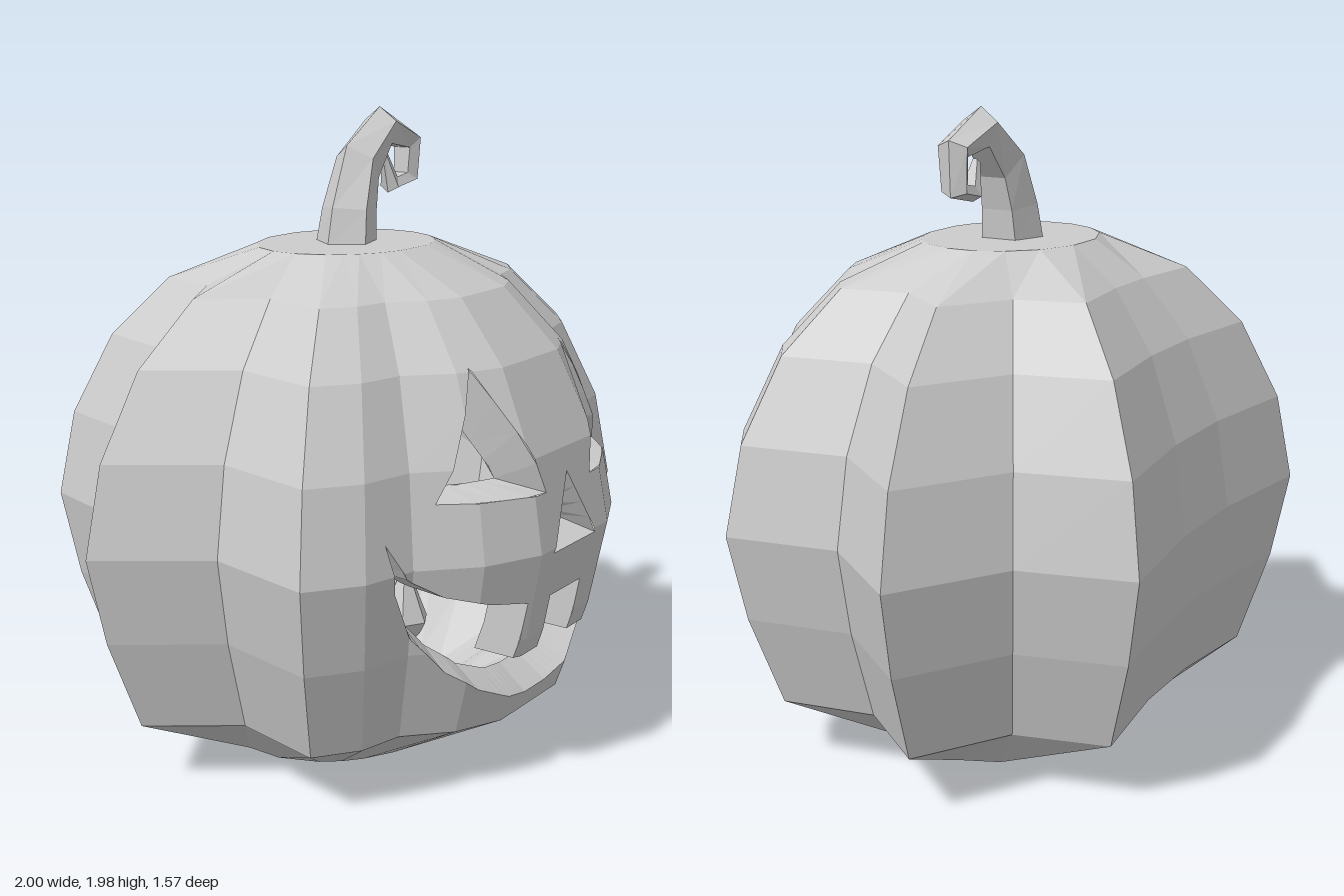
import * as THREE from 'three';

const skin = new THREE.MeshStandardMaterial({ color: 0xcccccc, flatShading: true, side: THREE.DoubleSide });
skin.name = 'pale grey';

const CZ = -0.06; // depth of the vertical axis
const mirrorX = (pts) => pts.map(([x, y]) => [-x, y]).reverse();

// Ribbed plan outline (x, z), front to back, then mirrored
const halfOutline = [[0.2, 0.78], [0.38, 0.7], [0.53, 0.56], [0.7, 0.52], [0.85, 0.41], [0.78, 0.06],
  [1, -0.24], [0.66, -0.45], [0.565, -0.79], [0.16, -0.74]];
const outline = [...halfOutline, ...mirrorX(halfOutline)];

// Ring heights with plan scale
const levels = [[0.2, 0.83], [0.49, 0.94], [0.76, 1], [1.03, 0.94], [1.28, 0.8], [1.46, 0.6]];

function ellipseRing(y, rx, rz) {
  return outline.map(([x, z]) => {
    const a = Math.atan2(x, z - CZ);
    return [rx * Math.sin(a), y, CZ + rz * Math.cos(a)];
  });
}

function makeRings(s, sy) {
  const rings = [
    ellipseRing(0, 0.44, 0.36),
    ...levels.map(([y, k]) => outline.map(([x, z]) => [x * k, y, CZ + (z - CZ) * k])),
    ellipseRing(1.57, 0.31, 0.26),
  ];
  return rings.map((r) => r.map(([x, y, z]) => [x * s, 0.76 + (y - 0.76) * sy, CZ + (z - CZ) * s]));
}

// Surface triangles, split into the carved front and the rest
function shellTriangles(rings) {
  const front = [], rest = [], n = outline.length;
  for (let j = 0; j < rings.length - 1; j++) {
    for (let i = 0; i < n; i++) {
      const k = (i + 1) % n;
      const [a, b, c, d] = [rings[j][i], rings[j][k], rings[j + 1][k], rings[j + 1][i]];
      const carved = outline[i][1] > 0.4 && outline[k][1] > 0.4 && j > 0 && j < 6;
      (carved ? front : rest).push([a, b, c], [a, c, d]);
    }
  }
  const top = rings[rings.length - 1], bottom = rings[0];
  for (let i = 0; i < n; i++) {
    const k = (i + 1) % n;
    rest.push([top[i], top[k], [0, top[0][1], CZ]], [bottom[k], bottom[i], [0, bottom[0][1], CZ]]);
  }
  return { front, rest };
}

const cross = (a, b, p) => (b[0] - a[0]) * (p[1] - a[1]) - (b[1] - a[1]) * (p[0] - a[0]);

// Keep the part of a polygon on one side of line a-b (seen from the front)
function clip(poly, a, b, sign) {
  const out = [];
  poly.forEach((p, i) => {
    const q = poly[(i + 1) % poly.length];
    const dp = sign * cross(a, b, p), dq = sign * cross(a, b, q);
    if (dp >= 0) out.push(p);
    if ((dp > 0 && dq < 0) || (dp < 0 && dq > 0)) {
      const t = dp / (dp - dq);
      out.push(p.map((v, m) => v + (q[m] - v) * t));
    }
  });
  return out;
}

const area = (p) => p.slice(2).reduce((s, v, i) => s + Math.abs(cross(p[0], p[i + 1], v)), 0);

// Convex polygon minus a counter-clockwise triangle
function subtract(poly, tri) {
  const pieces = [];
  let rem = poly;
  for (let e = 0; e < 3; e++) {
    const a = tri[e], b = tri[(e + 1) % 3];
    const outside = clip(rem, a, b, -1);
    if (area(outside) > 1e-8) pieces.push(outside);
    rem = clip(rem, a, b, 1);
    if (area(rem) < 1e-8) return [poly];
  }
  return pieces;
}

function carve(tris, contours) {
  let polys = tris;
  for (const c of contours) {
    const v = c.map(([x, y]) => new THREE.Vector2(x, y));
    for (const f of THREE.ShapeUtils.triangulateShape(v, [])) {
      const t = f.map((i) => c[i]);
      if (cross(t[0], t[1], t[2]) < 0) t.reverse();
      polys = polys.flatMap((p) => subtract(p, t));
    }
  }
  return polys;
}

// Drop a front-view point onto a carved surface
function project([x, y], tris) {
  for (const [a, b, c] of tris) {
    const d = cross(a, b, c);
    const u = cross(b, c, [x, y]) / d, v = cross(c, a, [x, y]) / d, w = 1 - u - v;
    if (d > 0 && Math.min(u, v, w) > -1e-4) return [x, y, u * a[2] + v * b[2] + w * c[2]];
  }
  return [x, y, 0.6];
}

function densify(c, n = 4) {
  return c.flatMap(([x, y], i) => {
    const [u, v] = c[(i + 1) % c.length];
    return Array.from({ length: n }, (_, k) => [x + ((u - x) * k) / n, y + ((v - y) * k) / n]);
  });
}

function polyMesh(name, polys, flip = false) {
  const pos = [];
  for (const p of polys) {
    for (let i = 1; i < p.length - 1; i++) {
      pos.push(...p[0], ...(flip ? [...p[i + 1], ...p[i]] : [...p[i], ...p[i + 1]]));
    }
  }
  const g = new THREE.BufferGeometry();
  g.setAttribute('position', new THREE.Float32BufferAttribute(pos, 3));
  g.computeVertexNormals();
  const m = new THREE.Mesh(g, skin);
  m.name = name;
  return m;
}

// Face openings: outer and inner contours, clockwise from the front
const eye = [[0.26, 1.29], [0.457, 0.94], [0.13, 0.925]];
const eyeIn = [[0.27, 1.18], [0.385, 0.96], [0.195, 0.96]];
const mouthHalf = [[0.09, 0.6], [0.09, 0.43], [0.21, 0.43], [0.21, 0.61], [0.33, 0.63], [0.45, 0.67], [0.55, 0.74],
  [0.615, 0.85], [0.585, 0.7], [0.5, 0.54], [0.4, 0.42], [0.29, 0.34], [0.17, 0.285], [0.06, 0.26]];
const mouthInHalf = [[0.09, 0.6], [0.09, 0.43], [0.21, 0.43], [0.21, 0.61], [0.33, 0.64], [0.43, 0.67], [0.52, 0.73],
  [0.56, 0.8], [0.53, 0.72], [0.45, 0.58], [0.36, 0.47], [0.26, 0.39], [0.15, 0.345], [0.05, 0.33]];
const openings = [
  ['leftEyeRim', eye, eyeIn],
  ['rightEyeRim', mirrorX(eye), mirrorX(eyeIn)],
  ['noseRim', [[0, 0.96], [0.125, 0.745], [-0.125, 0.745]], [[0, 0.87], [0.08, 0.79], [-0.08, 0.79]]],
  ['mouthRim', [...mouthHalf, ...mirrorX(mouthHalf)], [...mouthInHalf, ...mirrorX(mouthInHalf)]],
];

// Curled stem: outer edge x, y, inner edge x, y, half width
function makeStem() {
  const sections = [
    [-0.095, 1.565, 0.08, 1.565, 0.095], [-0.07, 1.68, 0.09, 1.66, 0.085], [0.005, 1.865, 0.115, 1.76, 0.07],
    [0.18, 1.975, 0.195, 1.86, 0.06], [0.36, 1.89, 0.305, 1.84, 0.05], [0.352, 1.725, 0.3, 1.76, 0.043],
    [0.228, 1.7, 0.25, 1.75, 0.035], [0.2, 1.81, 0.215, 1.825, 0.012],
  ];
  const loops = sections.map(([xo, yo, xi, yi, w]) =>
    [[0, 0], [0.38, 1], [1, 0.62], [1, -0.62], [0.38, -1]].map(([t, s]) =>
      [xo + (xi - xo) * t, yo + (yi - yo) * t, CZ + s * w]));
  const quads = [loops[loops.length - 1]];
  for (let j = 0; j < loops.length - 1; j++) {
    for (let i = 0; i < 5; i++) {
      const k = (i + 1) % 5;
      quads.push([loops[j][i], loops[j][k], loops[j + 1][k], loops[j + 1][i]]);
    }
  }
  return polyMesh('stem', quads);
}

export function createModel() {
  const model = new THREE.Group();
  model.name = 'carvedPumpkin';

  // Hollow body with a carved front
  const outer = shellTriangles(makeRings(1, 1));
  const inner = shellTriangles(makeRings(0.86, 0.88));
  model.add(polyMesh('body', [...outer.rest, ...carve(outer.front, openings.map((o) => o[1]))]));
  model.add(polyMesh('innerWall', [...inner.rest, ...carve(inner.front, openings.map((o) => o[2]))], true));

  // Cut thickness of each opening
  for (const [name, co, ci] of openings) {
    const o = densify(co).map((p) => project(p, outer.front));
    const n = densify(ci).map((p) => project(p, inner.front));
    model.add(polyMesh(name, o.map((p, i) => {
      const k = (i + 1) % o.length;
      return [p, n[i], n[k], o[k]];
    })));
  }

  model.add(makeStem());

  // Small flame inside
  const profile = [[0, 0.27], [0.06, 0.33], [0.08, 0.37], [0, 0.57]].map(([r, y]) => new THREE.Vector2(r, y));
  const flame = new THREE.Mesh(new THREE.LatheGeometry(profile, 6), skin);
  flame.name = 'flame';
  flame.position.z = 0.17;
  model.add(flame);
  return model;
}
